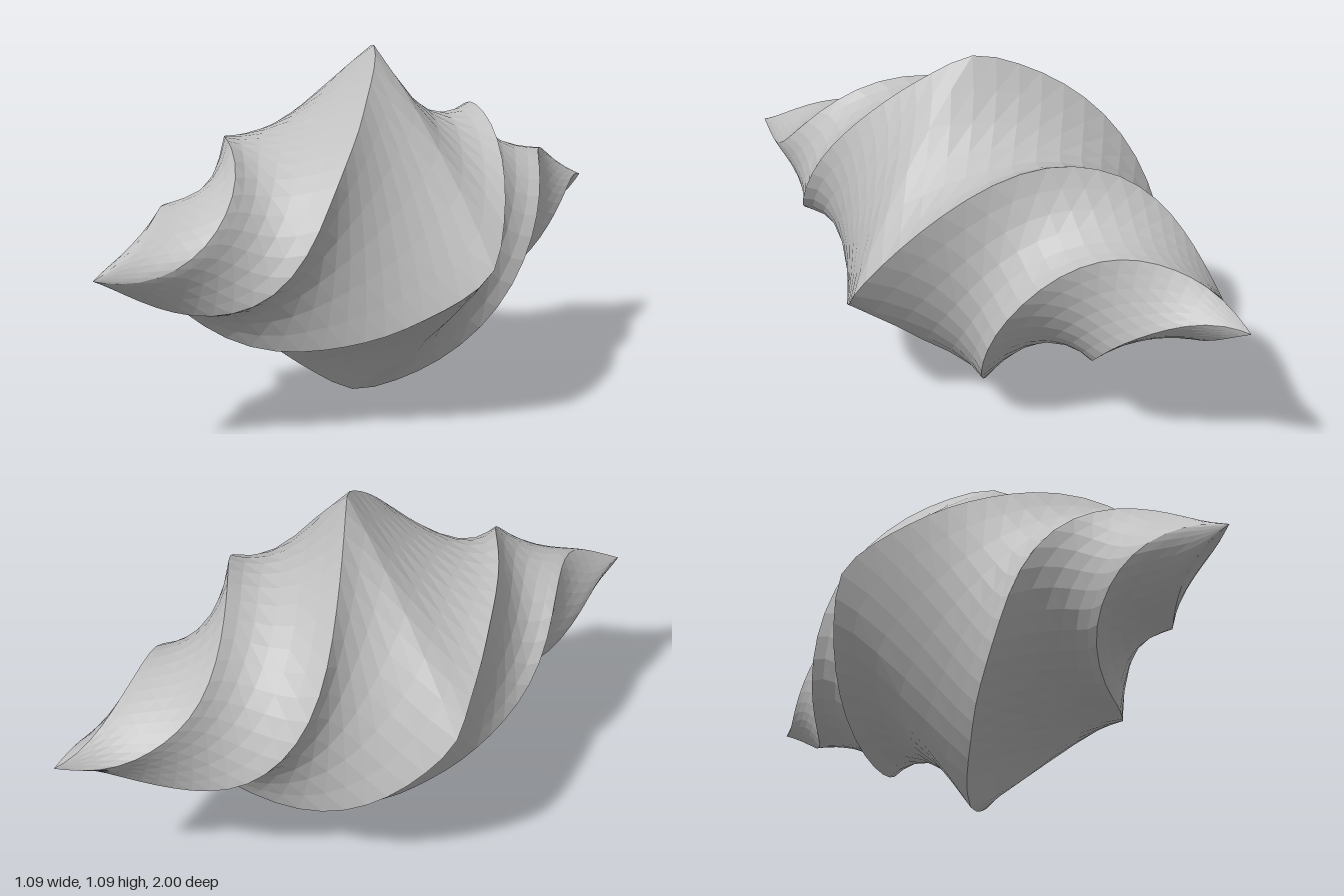
import * as THREE from 'three';

const RADIUS = 0.553, CENTRE_Y = 0.543;
const RINGS = 50, PER_SIDE = 6, AROUND = PER_SIDE * 4;

// Twist in degrees at even steps from the back tip (z = -1) to the front tip (z = 1)
const TWIST = [217, 170, 130, 80, 30, -5, -29, -61, -120, -171, -215];
const twistCurve = new THREE.SplineCurve(
  TWIST.map((deg, i) => new THREE.Vector2(-1 + i * 0.2, THREE.MathUtils.degToRad(deg)))
);

// Square cross-section with slightly bulging sides, tapering to both tips and turning along z
function ringPoint(ring, step) {
  const { x: z, y: turn } = twistCurve.getPoint(ring / RINGS);
  const r = RADIUS * Math.max(0, 1 - Math.max(Math.abs(z), 0.015));
  const side = Math.floor(step / PER_SIDE), f = (step % PER_SIDE) / PER_SIDE;
  const a = turn + side * Math.PI / 2, b = a + Math.PI / 2;
  // Sides are rounder towards the front tip
  const bulge = 0.08 + 0.4 * THREE.MathUtils.clamp(z - 0.5, 0, 0.3);
  const s = r * (1 + bulge * 4 * f * (1 - f));
  return [
    s * THREE.MathUtils.lerp(Math.cos(a), Math.cos(b), f),
    CENTRE_Y + s * THREE.MathUtils.lerp(Math.sin(a), Math.sin(b), f),
    z,
  ];
}

function twistedGeometry() {
  const positions = [], index = [];
  for (let i = 0; i <= RINGS; i++)
    for (let j = 0; j < AROUND; j++) positions.push(...ringPoint(i, j));
  for (let i = 0; i < RINGS; i++) {
    for (let j = 0; j < AROUND; j++) {
      const a = i * AROUND + j, b = i * AROUND + (j + 1) % AROUND;
      const c = a + AROUND, d = b + AROUND;
      // The tip rings are single points, so they need one triangle per step
      if (i > 0) index.push(a, b, d);
      if (i < RINGS - 1) index.push(a, d, c);
    }
  }
  const geometry = new THREE.BufferGeometry();
  geometry.setAttribute('position', new THREE.Float32BufferAttribute(positions, 3));
  geometry.setIndex(index);
  const flat = geometry.toNonIndexed();
  flat.computeVertexNormals();
  return flat;
}

export function createModel() {
  const group = new THREE.Group();
  group.name = 'twistedSpindle';
  const grey = new THREE.MeshStandardMaterial({ color: 0xc0c0c0 });
  grey.name = 'light grey';
  const body = new THREE.Mesh(twistedGeometry(), grey);
  body.name = 'spindleBody';
  group.add(body);
  return group;
}
